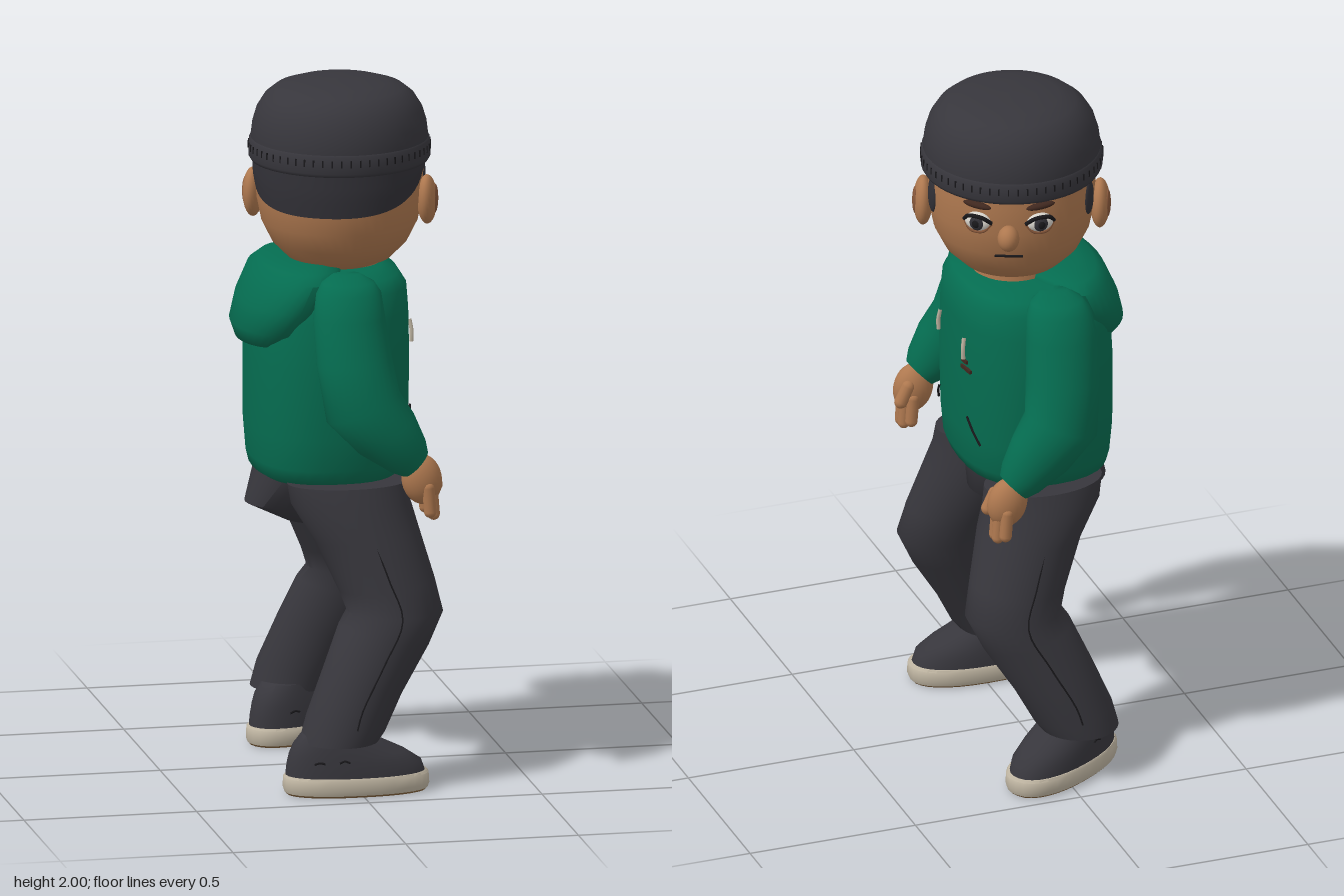
import * as THREE from 'three';
import { toCreasedNormals } from 'three/addons/utils/BufferGeometryUtils.js';

const mat = (name, color, side = THREE.FrontSide) => {
  const m = new THREE.MeshStandardMaterial({ color, side });
  m.name = name;
  return m;
};

// Lofted solid through elliptical sections [x, y, z, radiusX, radiusZ, tilt], listed bottom to top
function loft(sections, power = 2, seg = 32) {
  const pos = [], idx = [];
  const bend = (v) => Math.sign(v) * Math.abs(v) ** (2 / power);
  for (const [x, y, z, a, b, tilt = 0] of sections) {
    for (let j = 0; j < seg; j++) {
      const t = (j / seg) * Math.PI * 2;
      const u = a * bend(Math.cos(t));
      pos.push(x + u * Math.cos(tilt), y + u * Math.sin(tilt), z + b * bend(Math.sin(t)));
    }
  }
  const n = sections.length, last = (n - 1) * seg, lo = n * seg, hi = lo + 1;
  pos.push(...sections[0].slice(0, 3), ...sections[n - 1].slice(0, 3));
  for (let j = 0; j < seg; j++) {
    const k = (j + 1) % seg;
    for (let i = 0; i < n - 1; i++) {
      const a = i * seg + j, b = i * seg + k;
      idx.push(a, a + seg, b, b, a + seg, b + seg);
    }
    idx.push(lo, j, k, hi, last + k, last + j);
  }
  const g = new THREE.BufferGeometry();
  g.setAttribute('position', new THREE.Float32BufferAttribute(pos, 3));
  g.setIndex(idx);
  return toCreasedNormals(g, 0.95);
}

const lathe = (pts, seg = 48, start = 0, len = Math.PI * 2) =>
  new THREE.LatheGeometry(pts.map(([r, y]) => new THREE.Vector2(r, y)), seg, start, len);
const ball = (x, y, z) => new THREE.SphereGeometry(1, 24, 16).scale(x, y, z);
const tube = (pts, r) =>
  new THREE.TubeGeometry(new THREE.CatmullRomCurve3(pts.map((p) => new THREE.Vector3(...p))), 20, r, 6);

export function createModel() {
  const green = mat('hoodie green', 0x056c50);
  const dark = mat('charcoal cloth', 0x37363c);
  const hairMat = mat('charcoal hair', 0x313036, THREE.DoubleSide);
  const skin = mat('skin', 0xae784f);
  const shade = mat('shaded skin', 0x87573a);
  const cream = mat('cream rubber', 0xbdb3a0);
  const tread = mat('brown tread', 0x86653f);
  const black = mat('black', 0x19181b);
  const white = mat('eye white', 0xd8d4cc);
  const brown = mat('dark brown', 0x40281f);

  const model = new THREE.Group();
  model.name = 'figure';
  const add = (parent, name, geo, material, x = 0, y = 0, z = 0) => {
    const m = new THREE.Mesh(geo, material);
    m.name = name;
    m.position.set(x, y, z);
    parent.add(m);
    return m;
  };

  // Body, facing +x
  add(model, 'torso', loft([
    [-0.025, 0.86, 0, 0.185, 0.23], [-0.025, 0.875, 0, 0.208, 0.252], [-0.022, 0.91, 0, 0.219, 0.264],
    [-0.022, 1.0, 0, 0.226, 0.275], [-0.02, 1.2, 0, 0.228, 0.279], [-0.018, 1.34, 0, 0.224, 0.267],
    [-0.012, 1.41, 0, 0.213, 0.252], [-0.002, 1.447, 0, 0.18, 0.228], [0, 1.464, 0, 0.13, 0.17]], 2.5), green);
  add(model, 'hood', loft([
    [-0.2, 1.24, 0.01, 0.04, 0.08], [-0.195, 1.255, 0.01, 0.085, 0.15], [-0.175, 1.3, 0.01, 0.12, 0.21],
    [-0.148, 1.37, 0.01, 0.128, 0.246], [-0.112, 1.45, 0.01, 0.128, 0.248], [-0.1, 1.475, 0.01, 0.11, 0.215],
    [-0.09, 1.487, 0.01, 0.07, 0.15]]), green);
  add(model, 'neck', new THREE.CylinderGeometry(0.11, 0.12, 0.12, 32), skin, 0.02, 1.47, 0);
  add(model, 'hips', loft([
    [-0.03, 0.72, 0, 0.115, 0.1], [-0.052, 0.772, 0, 0.202, 0.15], [-0.035, 0.875, 0, 0.19, 0.23]]), dark);

  for (const s of [1, -1]) {
    const side = s > 0 ? 'right' : 'left';
    const limb = (rows, inset) => loft(rows.map(([x, y, z, ...r]) => [x, y, (z - inset) * s, ...r]));
    const armInset = s > 0 ? 0 : 0.016;
    const legInset = s > 0 ? 0 : 0.008;

    // Sleeve, tapering to the wrist
    add(model, side + 'Sleeve', limb([
      [0.157, 0.955, 0.388, 0.05, 0.05, 0.8], [0.135, 0.98, 0.388, 0.068, 0.064, 0.75],
      [0.075, 1.045, 0.386, 0.096, 0.08, 0.62], [0.008, 1.125, 0.377, 0.112, 0.092, 0.38],
      [-0.01, 1.25, 0.344, 0.108, 0.09, 0.1], [-0.018, 1.37, 0.311, 0.103, 0.085],
      [-0.016, 1.44, 0.295, 0.093, 0.072], [-0.015, 1.467, 0.278, 0.075, 0.062],
      [-0.015, 1.485, 0.254, 0.04, 0.027]], armInset), green);

    // Hand with four fingers and a thumb
    const hand = new THREE.Group();
    hand.name = side + 'Hand';
    hand.position.set(0.175, 0.91, (0.39 - armInset) * s);
    hand.rotation.z = 0.2;
    model.add(hand);
    add(hand, 'palm', ball(0.058, 0.074, 0.046), skin);
    for (let i = 0; i < 4; i++) {
      const bow = Math.abs(i - 1.5);
      const f = add(hand, 'finger', new THREE.CapsuleGeometry(0.018, 0.07, 6, 12), skin,
        0.022 - bow * 0.012, -0.077 + bow * 0.014, (i - 1.5) * 0.022);
      f.rotation.z = -0.12;
    }
    const thumb = add(hand, 'thumb', new THREE.CapsuleGeometry(0.019, 0.05, 6, 12), skin, 0.036, -0.01, -0.03 * s);
    thumb.rotation.z = 0.25;

    // Trouser leg and side seam
    add(model, side + 'Leg', limb([
      [-0.055, 0.15, 0.345, 0.112, 0.116], [-0.035, 0.2, 0.343, 0.115, 0.114, -0.2],
      [0.02, 0.32, 0.32, 0.118, 0.117, -0.38], [0.085, 0.44, 0.293, 0.132, 0.121, -0.25],
      [0.12, 0.505, 0.279, 0.138, 0.123, -0.03], [0.1, 0.58, 0.26, 0.138, 0.125, 0.12],
      [0.05, 0.72, 0.22, 0.15, 0.135, 0.12], [0.008, 0.81, 0.206, 0.172, 0.124],
      [0, 0.867, 0.201, 0.174, 0.11]], legInset), dark);
    add(model, side + 'Seam', tube([[0.05, 0.71, 0.354], [0.085, 0.61, 0.378], [0.118, 0.5, 0.402],
      [0.06, 0.38, 0.428], [-0.01, 0.25, 0.452], [-0.025, 0.2, 0.458]]
      .map(([x, y, z]) => [x, y, (z - legInset) * s]), 0.0025), black);

    // Shoe, one foot turned outward
    const shoe = new THREE.Group();
    shoe.name = side + 'Shoe';
    shoe.position.set(-0.006, 0, s > 0 ? 0.345 : -0.327);
    shoe.rotation.y = s > 0 ? 0 : 0.55;
    model.add(shoe);
    add(shoe, 'tread', loft([[0, 0, 0, 0.2, 0.09], [0, 0.008, 0, 0.206, 0.096]], 2.3), tread);
    add(shoe, 'sole', loft([[0, 0.006, 0, 0.206, 0.096], [0, 0.02, 0, 0.211, 0.101],
      [0, 0.05, 0, 0.209, 0.1], [0, 0.056, 0, 0.204, 0.096]], 2.3), cream);
    add(shoe, 'upper', loft([[-0.002, 0.05, 0, 0.202, 0.095], [-0.006, 0.085, 0, 0.194, 0.093],
      [-0.025, 0.115, 0, 0.168, 0.087], [-0.05, 0.145, 0, 0.13, 0.08], [-0.065, 0.175, 0, 0.09, 0.07]], 2.2), dark);
    for (const f of [1, -1]) {
      add(shoe, 'sideStitch', tube([[-0.065, 0.102, 0.088 * f], [-0.05, 0.107, 0.088 * f], [-0.035, 0.102, 0.09 * f]], 0.003), black);
      add(shoe, 'heelStitch', tube([[-0.135, 0.098, 0.074 * f], [-0.12, 0.103, 0.078 * f], [-0.105, 0.1, 0.082 * f]], 0.003), black);
    }

    // Hood cord and pocket opening
    add(model, 'hoodCord', tube([[0.202, 1.305, 0.095 * s], [0.207, 1.27, 0.1 * s], [0.206, 1.24, 0.1 * s]], 0.006), cream);
    add(model, 'pocketOpening', tube([[0.199, 1.06, 0.11 * s], [0.192, 1.025, 0.14 * s], [0.18, 0.99, 0.168 * s]], 0.0035), black);
  }

  // Small plain bars on the chest
  for (const [y, z, w] of [[1.232, -0.098, 0.03], [1.212, -0.11, 0.055]]) {
    const bar = add(model, 'chestBar', new THREE.BoxGeometry(0.008, 0.01, w), brown, 0.201, y, z);
    bar.rotation.y = 0.12;
  }

  // Head, built facing +z and then turned over the shoulder
  const head = new THREE.Group();
  head.name = 'head';
  head.position.set(0.015, 0, 0.02);
  head.rotation.y = 2.75;
  model.add(head);
  const place = (name, geo, material, angle, y, r) => {
    const m = add(head, name, geo, material, Math.sin(angle) * r, y, Math.cos(angle) * r);
    m.rotation.y = angle;
    return m;
  };
  add(head, 'face', lathe([[0, 1.45], [0.08, 1.456], [0.145, 1.483], [0.192, 1.53], [0.222, 1.59],
    [0.236, 1.66], [0.238, 1.74], [0.23, 1.82]]), skin);

  // Hair at the back, its lower edge rising towards the ears
  const hair = lathe([[0.241, 1.645], [0.246, 1.69], [0.247, 1.73], [0.244, 1.79]], 32, Math.PI / 2, Math.PI);
  const p = hair.attributes.position;
  for (let i = 0; i < p.count; i++) {
    const a = Math.abs(Math.atan2(p.getX(i), -p.getZ(i))) / (Math.PI / 2);
    const low = 1.645 + 0.1 * a ** 3;
    p.setY(i, low + ((p.getY(i) - 1.645) / 0.145) * (1.79 - low));
  }
  hair.computeVertexNormals();
  add(head, 'hair', hair, hairMat);

  // Knitted cap with a stitched band
  add(head, 'cap', lathe([[0.25, 1.8], [0.252, 1.835], [0.247, 1.875], [0.235, 1.915], [0.213, 1.95],
    [0.182, 1.975], [0.135, 1.99], [0.07, 1.998], [0, 2.0]]), dark);
  add(head, 'capBand', lathe([[0.232, 1.772], [0.252, 1.768], [0.258, 1.778], [0.259, 1.805],
    [0.256, 1.828], [0.249, 1.834]]), dark);
  for (let i = 0; i < 60; i++) {
    place('stitch', new THREE.BoxGeometry(0.004, 0.02, 0.006), black, (i / 60) * Math.PI * 2, 1.808, 0.257);
  }

  // Facial features
  for (const s of [1, -1]) {
    const ear = place('ear', ball(0.05, 0.073, 0.028), skin, 1.54 * s, 1.655, 0.251);
    ear.rotation.x = -0.15;
    place('innerEar', ball(0.025, 0.042, 0.009), shade, 1.52 * s, 1.657, 0.273);
    place('sideburn', ball(0.026, 0.055, 0.012), hairMat, 1.22 * s, 1.71, 0.235);
    place('eye', ball(0.039, 0.028, 0.022), white, 0.375 * s, 1.7, 0.24);
    place('iris', ball(0.021, 0.022, 0.01), hairMat, 0.365 * s, 1.701, 0.256);
    place('pupil', ball(0.011, 0.012, 0.006), black, 0.365 * s, 1.701, 0.263);
    place('upperEyelid', tube([[-0.042, -0.004, -0.006], [-0.02, 0.019, 0.014], [0.02, 0.019, 0.014],
      [0.042, -0.004, -0.006]], 0.006), black, 0.375 * s, 1.704, 0.246);
    place('lowerEyelid', tube([[-0.042, 0.002, -0.006], [-0.02, -0.022, 0.004], [0.02, -0.022, 0.004],
      [0.042, 0.002, -0.006]], 0.005), shade, 0.375 * s, 1.697, 0.244);
    const brow = place('eyebrow', ball(0.043, 0.01, 0.012), brown, 0.375 * s, 1.754, 0.246);
    brow.rotation.z = 0.08 * s;
  }
  place('nose', ball(0.031, 0.038, 0.036), skin, 0, 1.664, 0.26);
  add(head, 'mouth', tube([[-0.04, 1.588, 0.219], [0, 1.59, 0.224], [0.04, 1.588, 0.219]], 0.004), black);

  return model;
}
